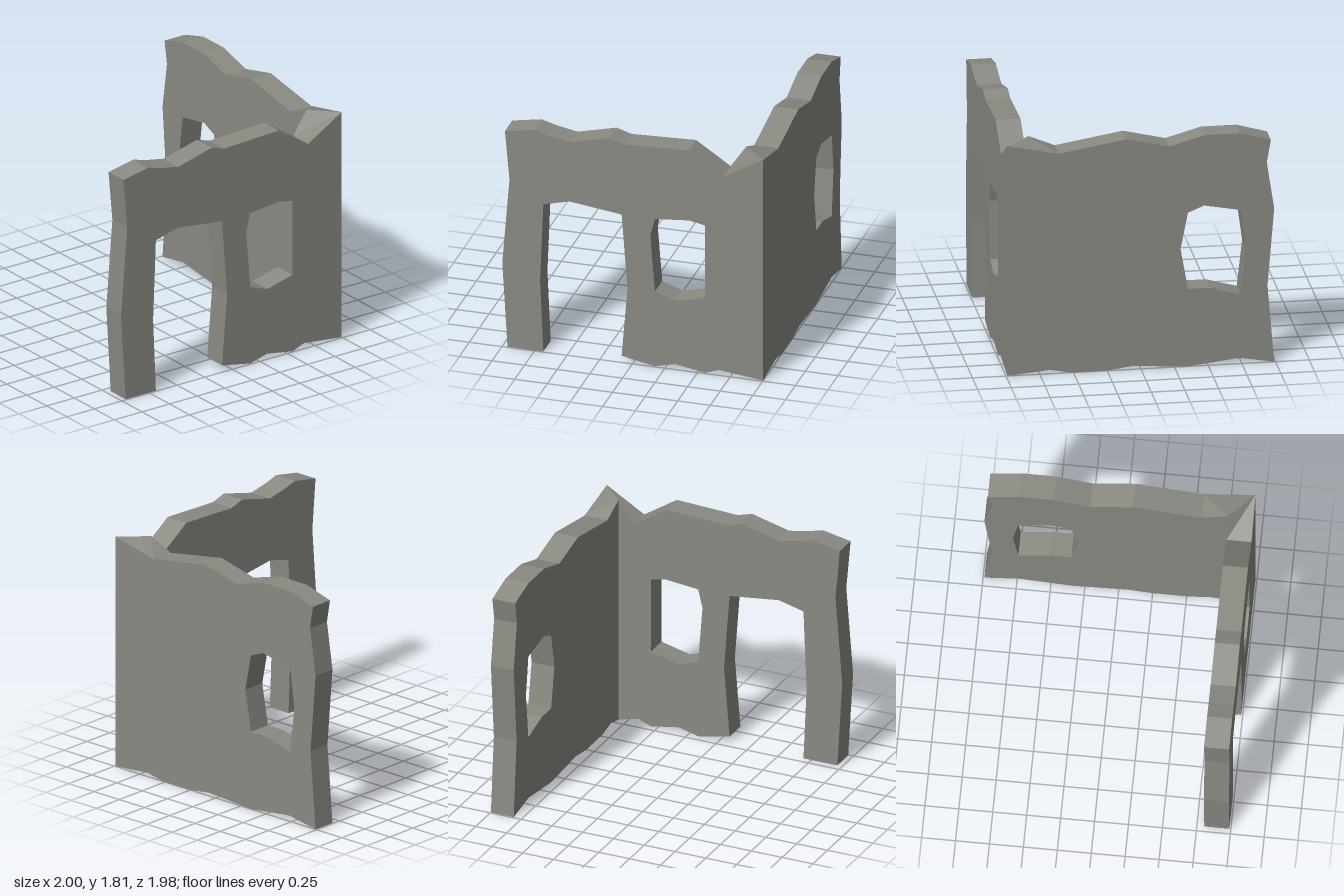
import * as THREE from 'three';

const THICKNESS = 0.185;
const toPoints = (pairs) => pairs.map(([u, y]) => new THREE.Vector2(u, y));

// Extrude a ragged outline with a window hole, mitring the end at u = corner
function wallGeometry(outline, hole, corner) {
  const shape = new THREE.Shape(toPoints(outline));
  shape.holes.push(new THREE.Path(toPoints(hole)));
  const geo = new THREE.ExtrudeGeometry(shape, { depth: THICKNESS, bevelEnabled: false });
  const pos = geo.getAttribute('position');
  const atCorner = (i) => Math.abs(pos.getX(i) - corner) < 1e-4;
  const kept = [];
  for (let i = 0; i < pos.count; i += 3) {
    // The mitre joint itself is hidden, so its faces are left out
    if (atCorner(i) && atCorner(i + 1) && atCorner(i + 2)) continue;
    for (let k = i; k < i + 3; k++) {
      const inner = atCorner(k) && pos.getZ(k) < THICKNESS / 2;
      const u = inner ? corner - Math.sign(corner) * THICKNESS : pos.getX(k);
      kept.push(u, pos.getY(k), pos.getZ(k));
    }
  }
  const wall = new THREE.BufferGeometry();
  wall.setAttribute('position', new THREE.Float32BufferAttribute(kept, 3));
  wall.computeVertexNormals();
  return wall;
}

export function createModel() {
  const group = new THREE.Group();
  group.name = 'ruinedWalls';
  const stone = new THREE.MeshStandardMaterial({ color: 0x8a8a83 });
  stone.name = 'grey stone';

  // Front wall with doorway and window, in (x, y)
  const frontOutline = [
    [-0.96, 0], [-0.685, 0], [-0.71, 0.57], [-0.685, 1.2], [-0.485, 1.25], [-0.085, 1.2],
    [-0.04, 0.605], [-0.085, 0.05], [0.17, 0], [0.325, 0.04], [0.555, 0], [0.66, 0.04],
    [1, 0], [1, 1.797], [0.695, 1.62], [0.43, 1.795], [-0.065, 1.775], [-0.18, 1.81],
    [-0.48, 1.735], [-0.64, 1.765], [-0.755, 1.797], [-0.98, 1.755], [-0.945, 1.365], [-1, 0.68],
  ];
  const frontWindow = [
    [0.17, 1.2], [0.435, 1.225], [0.555, 1.2], [0.555, 0.61],
    [0.325, 0.555], [0.17, 0.61], [0.135, 1.055],
  ];
  const front = new THREE.Mesh(wallGeometry(frontOutline, frontWindow, 1), stone);
  front.name = 'frontWall';
  front.position.z = 0.99 - THICKNESS;

  // Side wall with window, in (z, y); z is negated for the turn into place
  const sideOutline = [
    [0.99, 0], [0.675, 0.03], [0.525, 0], [0.25, 0], [0.07, 0.025], [-0.35, 0],
    [-0.735, 0.045], [-0.99, 0], [-0.94, 0.6], [-0.99, 1.2], [-0.935, 1.56], [-0.965, 1.735],
    [-0.735, 1.8], [-0.475, 1.8], [-0.21, 1.725], [0.105, 1.8], [0.61, 1.715], [0.99, 1.797],
  ];
  const sideWindow = [
    [-0.35, 1.2], [-0.47, 1.25], [-0.74, 1.2], [-0.78, 0.9],
    [-0.74, 0.54], [-0.51, 0.605], [-0.35, 0.605], [-0.295, 0.92],
  ];
  const flip = (pairs) => pairs.map(([z, y]) => [-z, y]);
  const side = new THREE.Mesh(wallGeometry(flip(sideOutline), flip(sideWindow), -0.99), stone);
  side.name = 'sideWall';
  side.rotation.y = Math.PI / 2;
  side.position.x = 1 - THICKNESS;

  group.add(front, side);
  return group;
}
